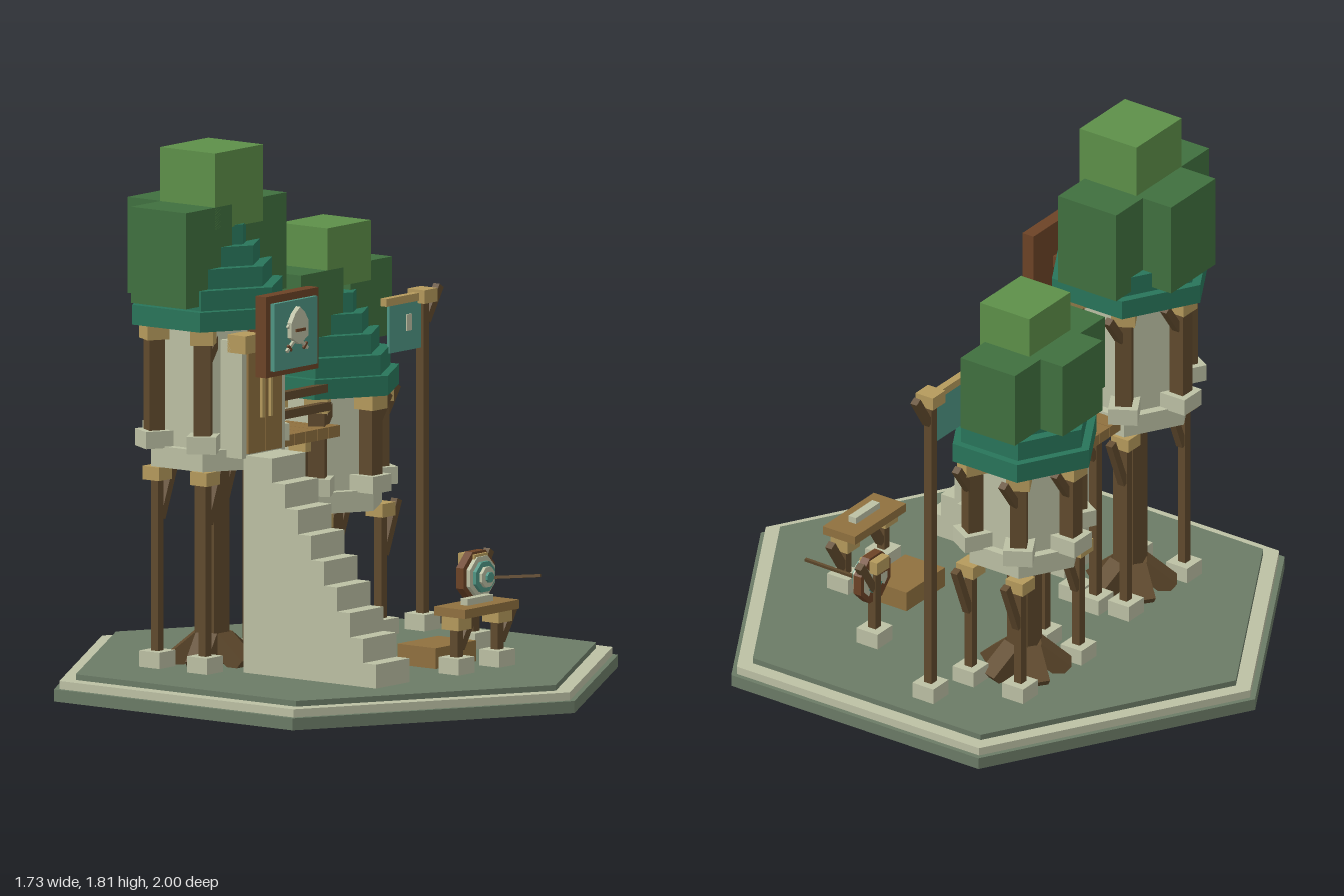
import * as THREE from 'three';

const COLORS = {
  moss: 0x6b7b66, stone: 0xbcc0a4, darkWood: 0x604a2d, plankWood: 0x90713f, tanWood: 0xb59a5c,
  redWood: 0x6c4326, roofGreen: 0x28755a, teal: 0x4f9584, leafDark: 0x40703f, leafLight: 0x5d9049,
};
const M = {};
for (const [name, color] of Object.entries(COLORS)) {
  M[name] = new THREE.MeshStandardMaterial({ color });
  M[name].name = name;
}

function add(parent, name, geometry, mat, x, y, z) {
  const mesh = new THREE.Mesh(geometry, M[mat]);
  mesh.name = name;
  mesh.position.set(x, y, z);
  parent.add(mesh);
  return mesh;
}
const group = (parent, name, x = 0, z = 0) => {
  const g = new THREE.Group();
  g.name = name;
  g.position.set(x, 0, z);
  parent.add(g);
  return g;
};
// Box given by its min and max on each axis
const span = (p, name, mat, x0, x1, y0, y1, z0, z1) =>
  add(p, name, new THREE.BoxGeometry(x1 - x0, y1 - y0, z1 - z0), mat, (x0 + x1) / 2, (y0 + y1) / 2, (z0 + z1) / 2);
// Square block centred on x, z
const block = (p, name, mat, x, z, w, y0, y1) =>
  span(p, name, mat, x - w / 2, x + w / 2, y0, y1, z - w / 2, z + w / 2);
// Faceted prism with hard edges
function prism(p, name, mat, r, y0, y1, sides = 6, x = 0, z = 0) {
  const g = new THREE.CylinderGeometry(r, r, y1 - y0, sides).toNonIndexed();
  g.computeVertexNormals();
  return add(p, name, g, mat, x, (y0 + y1) / 2, z);
}
// Square beam between two points
function beam(p, name, mat, a, b, w) {
  const va = new THREE.Vector3(...a), vb = new THREE.Vector3(...b);
  const mesh = add(p, name, new THREE.BoxGeometry(w, va.distanceTo(vb), w), mat, 0, 0, 0);
  mesh.position.copy(va).add(vb).multiplyScalar(0.5);
  mesh.quaternion.setFromUnitVectors(new THREE.Vector3(0, 1, 0), vb.sub(va).normalize());
  return mesh;
}

// Post on a stone foot with a tan cap and a brace leaning to one side
function footedPost(p, name, x, z, top, brace = 0.1) {
  const g = group(p, name, x, z);
  block(g, 'stoneFoot', 'stone', 0, 0, 0.085, 0.085, 0.14);
  block(g, 'post', 'darkWood', 0, 0, 0.03, 0.14, top - 0.04);
  block(g, 'postCap', 'tanWood', 0, 0, 0.07, top - 0.045, top);
  if (brace) beam(g, 'brace', 'darkWood', [0.015, top - brace * 1.1, 0], [0.085, top, 0], 0.026);
  return g;
}

// Hexagonal tree house: floor y, wall and post radii, roof radii, eave y
function tower(root, name, x, z, floor, eave, wallR, postR, roofR, skipFront) {
  const t = group(root, name, x, z);
  block(t, 'trunk', 'darkWood', 0, 0, 0.082, 0.085, floor);
  for (let i = 0; i < 5; i++) {
    const a = (i / 5) * Math.PI * 2, s = Math.sin(a), c = Math.cos(a);
    const root = add(t, 'trunkRoot', new THREE.BoxGeometry(0.075, 0.06, 0.13), 'darkWood', s * 0.085, 0.13, c * 0.085);
    root.rotation.set(0.7, a, 0, 'YXZ');
  }
  prism(t, 'floorSlab', 'stone', postR + 0.012, floor, floor + 0.07);
  prism(t, 'wall', 'stone', wallR, floor + 0.07, eave);
  for (let i = 0; i < 6; i++) {
    if (skipFront && i === 0) continue;
    const a = (i / 6) * Math.PI * 2;
    const px = Math.sin(a) * postR, pz = Math.cos(a) * postR;
    block(t, 'cornerStone', 'stone', px, pz, 0.098, floor + 0.065, floor + 0.122).rotation.y = a;
    block(t, 'wallPost', 'darkWood', px, pz, 0.055, floor + 0.12, eave - 0.04).rotation.y = a;
    block(t, 'wallPostCap', 'tanWood', px, pz, 0.078, eave - 0.05, eave).rotation.y = a;
    beam(t, 'wallBrace', 'darkWood', [px + 0.02, eave - 0.11, pz], [px + 0.09, eave - 0.01, pz], 0.026);
  }
  roofR.forEach((r, i) => prism(t, 'roofTier', 'roofGreen', r, eave + i * 0.066, eave + (i + 1) * 0.066));
  // Stilts under the four side corners
  for (const sx of [-1, 1]) for (const sz of [-1, 1]) {
    footedPost(t, 'stilt', sx * 0.165, sz * 0.1, floor, 0.16);
  }
  return t;
}

function foliage(root, boxes) {
  const g = group(root, 'foliage');
  boxes.forEach((b, i) => span(g, 'leafBlock', i ? 'leafDark' : 'leafLight', ...b));
}

export function createModel() {
  const root = new THREE.Group();
  root.name = 'treeHouses';

  // Hexagonal base
  prism(root, 'baseBottom', 'moss', 1, 0, 0.04);
  prism(root, 'baseTrim', 'stone', 0.98, 0.04, 0.067);
  prism(root, 'ground', 'moss', 0.922, 0.067, 0.086);

  // Towers and their leaf blocks
  tower(root, 'tallTower', -0.335, -0.255, 0.755, 1.23, 0.182, 0.205, [0.283, 0.25, 0.212, 0.172, 0.13], true);
  tower(root, 'shortTower', 0.335, -0.307, 0.525, 0.915, 0.165, 0.188, [0.26, 0.23, 0.19, 0.152, 0.115], false);
  foliage(root, [
    [-0.465, -0.21, 1.555, 1.81, -0.37, -0.14],
    [-0.62, -0.375, 1.31, 1.63, -0.37, -0.14],
    [-0.3, -0.06, 1.31, 1.63, -0.395, -0.16],
    [-0.46, -0.21, 1.31, 1.63, -0.51, -0.28],
  ]);
  foliage(root, [
    [0.22, 0.452, 1.27, 1.47, -0.41, -0.21],
    [0.08, 0.305, 1.07, 1.33, -0.45, -0.21],
    [0.37, 0.59, 1.07, 1.33, -0.45, -0.23],
    [0.22, 0.445, 1.07, 1.33, -0.54, -0.32],
  ]);

  // Doorway
  const door = group(root, 'doorway');
  span(door, 'doorFrame', 'stone', -0.45, -0.22, 0.8, 1.19, -0.13, -0.04);
  span(door, 'doorLintel', 'tanWood', -0.45, -0.22, 1.15, 1.21, -0.1, -0.025);
  for (const s of [-1, 1]) {
    span(door, 'doorLeaf', 'plankWood', -0.338 + (s < 0 ? -0.088 : 0.002), -0.338 + (s < 0 ? -0.002 : 0.088), 0.815, 1.15, -0.06, -0.03);
    block(door, 'doorHandle', 'tanWood', -0.338 + s * 0.022, -0.025, 0.012, 0.93, 1.08);
  }

  // Stone stairs, solid to the ground
  const stairs = group(root, 'stairs');
  for (let i = 0; i < 9; i++) {
    const front = 0.505 - i * 0.0545;
    const back = i === 8 ? -0.05 : front - 0.0545;
    span(stairs, 'step', 'stone', -0.428, -0.25, 0.085, 0.085 + (i + 1) * 0.0805, back, front);
  }

  // Hanging sign with a helmet and crossed blades
  const sign = group(root, 'sign');
  span(sign, 'signArm', 'redWood', -0.36, -0.31, 1.195, 1.235, -0.15, 0.05);
  span(sign, 'signBoard', 'redWood', -0.48, -0.2, 1.085, 1.355, 0.04, 0.085);
  span(sign, 'signPanel', 'teal', -0.455, -0.225, 1.105, 1.33, 0.08, 0.1);
  for (const s of [-1, 1]) {
    beam(sign, 'blade', 'stone', [-0.34 - s * 0.055, 1.165, 0.104], [-0.34 + s * 0.05, 1.25, 0.104], 0.01);
    beam(sign, 'bladeGuard', 'redWood', [-0.34 - s * 0.05, 1.185, 0.106], [-0.34 - s * 0.032, 1.167, 0.106], 0.008);
  }
  const helmet = new THREE.Shape([[-0.045, -0.03], [0, -0.055], [0.045, -0.03], [0.045, 0.02], [0.025, 0.05], [0, 0.07],
    [-0.025, 0.05], [-0.045, 0.02]].map(([x, y]) => new THREE.Vector2(x, y)));
  add(sign, 'helmet', new THREE.ExtrudeGeometry(helmet, { depth: 0.02, bevelEnabled: false }), 'stone', -0.34, 1.24, 0.098);
  span(sign, 'helmetSlit', 'redWood', -0.365, -0.315, 1.228, 1.238, 0.115, 0.122);

  // Bridge with planks, rails and supports
  const bridge = group(root, 'bridge');
  for (let i = 0; i < 6; i++) {
    span(bridge, 'plank', 'plankWood', -0.14 + i * 0.061, -0.082 + i * 0.061, 0.782, 0.82, -0.355, -0.16);
  }
  span(bridge, 'deckBeam', 'plankWood', -0.14, 0.22, 0.785, 0.812, -0.34, -0.175);
  for (const y of [0.89, 0.952]) span(bridge, 'rail', 'darkWood', -0.17, 0.17, y - 0.014, y + 0.014, -0.18, -0.153);
  for (const x of [-0.145, 0.145]) footedPost(bridge, 'bridgePost', x, -0.25, 0.782, 0.12);

  // Work table with a slab on top
  const table = group(root, 'table');
  span(table, 'tableTop', 'plankWood', -0.038, 0.25, 0.276, 0.306, 0.44, 0.57);
  for (const x of [0.0, 0.215]) footedPost(table, 'tableLeg', x, 0.505, 0.277, 0.1);
  span(table, 'tableSlab', 'stone', 0.04, 0.175, 0.306, 0.328, 0.49, 0.52);

  // Low crate
  span(root, 'crate', 'plankWood', 0.022, 0.238, 0.085, 0.155, 0.24, 0.4);

  // Practice target with a stuck arrow
  const target = group(root, 'target');
  footedPost(target, 'targetPost', 0.468, 0.205, 0.4, 0.1);
  [['redWood', 0.09, 0.23], ['stone', 0.072, 0.245], ['teal', 0.054, 0.258], ['stone', 0.036, 0.27], ['teal', 0.018, 0.28]]
    .forEach(([mat, r, z]) => {
      const disc = prism(target, 'targetRing', mat, r, 0, z - 0.2, 8);
      disc.rotation.set(Math.PI / 2, Math.PI / 8, 0);
      disc.position.set(0.468, 0.325, (z + 0.2) / 2);
    });
  beam(target, 'arrow', 'darkWood', [0.495, 0.318, 0.25], [0.524, 0.34, 0.445], 0.01);

  // Flag on a tall pole
  const flag = group(root, 'flag');
  footedPost(flag, 'flagPole', 0.672, -0.167, 1.22, 0.1);
  span(flag, 'flagArm', 'tanWood', 0.465, 0.69, 1.184, 1.21, -0.18, -0.154);
  span(flag, 'flagCloth', 'teal', 0.49, 0.658, 1.025, 1.185, -0.173, -0.161);
  span(flag, 'flagMark', 'stone', 0.576, 0.602, 1.09, 1.145, -0.162, -0.156);

  return root;
}
